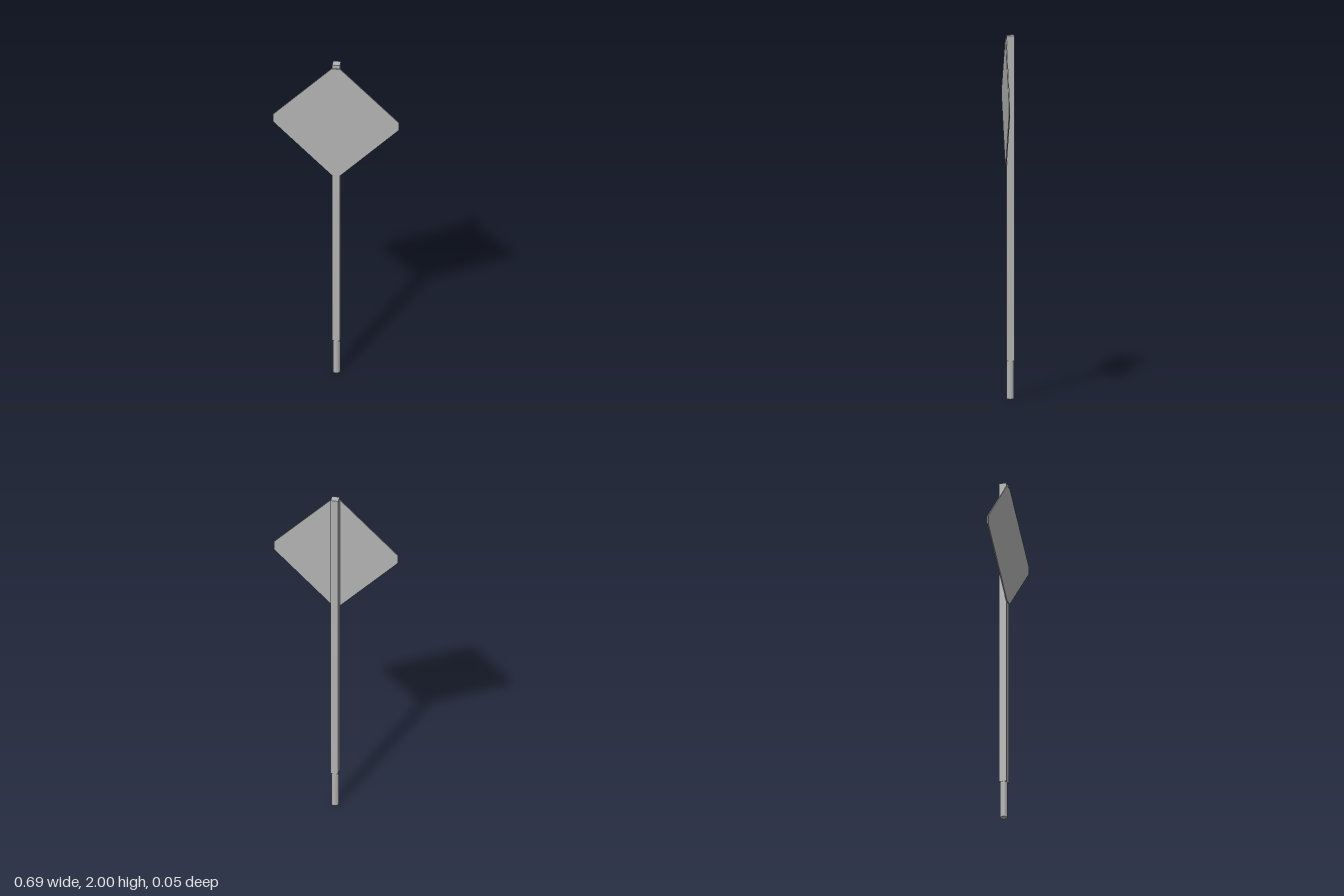
import * as THREE from 'three';

const POST_W = 0.043, POST_Z = -0.006;

export function createModel() {
  const group = new THREE.Group();
  const metal = new THREE.MeshStandardMaterial({ color: 0xb2b2b2 });
  metal.name = 'grey metal';
  metal.flatShading = true;

  const add = (name, geometry, x, y, z) => {
    const mesh = new THREE.Mesh(geometry, metal);
    mesh.name = name;
    mesh.position.set(x, y, z);
    group.add(mesh);
  };

  // Square post standing on a round ground spike
  add('post', new THREE.BoxGeometry(POST_W, 1.79, POST_W), 0, 1.105, POST_Z);
  add('groundSpike', new THREE.CylinderGeometry(0.021, 0.021, 0.212, 12), 0, 0.106, POST_Z);

  // Diamond plate with clipped corners, fixed to the front of the post
  const r = 0.345, c = 0.024;
  const outline = [[r, -c], [r, c], [c, r], [-c, r], [-r, c], [-r, -c], [-c, -r], [c, -r]];
  const shape = new THREE.Shape(outline.map(([x, y]) => new THREE.Vector2(x, y)));
  const plate = new THREE.ExtrudeGeometry(shape, { depth: 0.0065, bevelEnabled: false });
  add('signPlate', plate, 0, 1.634, POST_Z + POST_W / 2 - 0.0005);

  return group;
}
